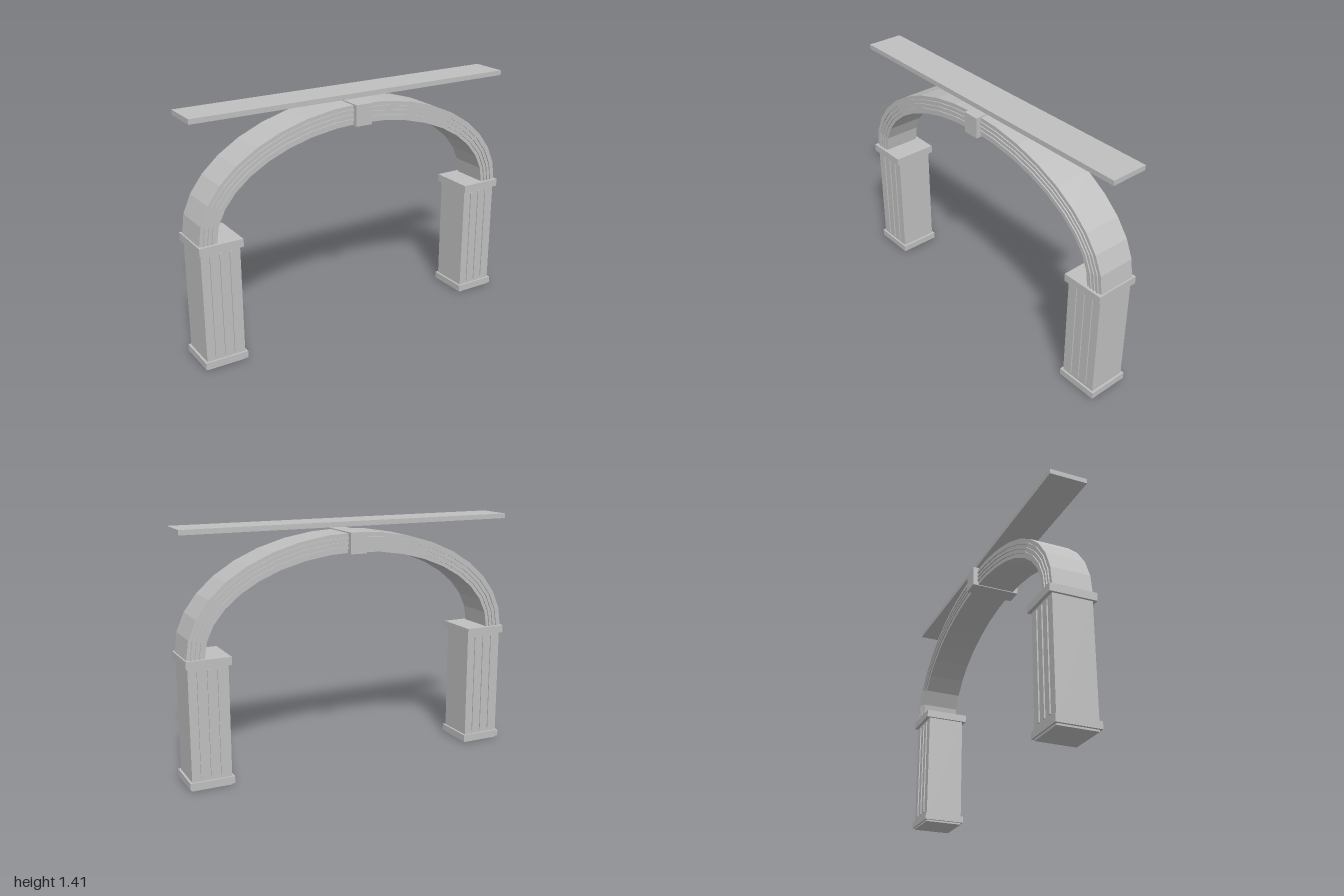
import * as THREE from 'three';

const SPRING = 0.73; // height where the arch leaves the piers
const STEPS = 18;

export function createModel() {
  const model = new THREE.Group();
  model.name = 'archway';
  const stone = new THREE.MeshStandardMaterial({ color: 0xbfbfbf });
  stone.name = 'grey stone';

  function add(parent, name, geometry) {
    const mesh = new THREE.Mesh(geometry, stone);
    mesh.name = name;
    parent.add(mesh);
    return mesh;
  }

  // Box given by its centre x, vertical range and sizes
  function box(parent, name, x, y0, y1, width, depth) {
    const mesh = add(parent, name, new THREE.BoxGeometry(width, y1 - y0, depth));
    mesh.position.set(x, (y0 + y1) / 2, 0);
    return mesh;
  }

  // Half elliptical band; t runs from 0 (outer edge) to 1 (inner edge)
  function archBand(t0, t1, depth) {
    const points = [];
    const edge = (t, i) => {
      const a = (Math.PI * i) / STEPS;
      points.push(new THREE.Vector2(
        (0.99 - 0.102 * t) * Math.cos(a),
        SPRING + (0.62 - 0.11 * t) * Math.sin(a)
      ));
    };
    for (let i = 0; i <= STEPS; i++) edge(t0, i);
    for (let i = STEPS; i >= 0; i--) edge(t1, i);
    const geometry = new THREE.ExtrudeGeometry(new THREE.Shape(points), { depth, bevelEnabled: false });
    return geometry.translate(0, 0, -depth / 2);
  }

  // Piers with base, capital and three thin ribs on front and back
  for (const side of [1, -1]) {
    const pier = new THREE.Group();
    pier.name = side > 0 ? 'leftPier' : 'rightPier';
    pier.position.x = side * 0.873;
    model.add(pier);
    box(pier, 'shaft', 0, 0, 0.7, 0.226, 0.224);
    box(pier, 'base', 0, 0.01, 0.05, 0.252, 0.246);
    box(pier, 'capital', 0, 0.685, SPRING, 0.252, 0.264);
    for (const x of [-0.057, 0, 0.057]) {
      for (const z of [1, -1]) {
        box(pier, 'pierRib', x, 0.07, 0.67, 0.014, 0.016).position.z = z * 0.111;
      }
    }
  }

  // Arch with raised mouldings following its curve
  add(model, 'arch', archBand(0, 1, 0.224));
  for (const t of [0.26, 0.5, 0.74]) {
    for (const z of [1, -1]) {
      add(model, 'archMoulding', archBand(t - 0.06, t + 0.06, 0.016)).position.z = z * 0.111;
    }
  }

  // Keystone and the slab above
  box(model, 'keystone', 0, 1.233, 1.353, 0.1, 0.288);
  box(model, 'topSlab', 0, 1.383, 1.411, 2, 0.216);
  return model;
}
